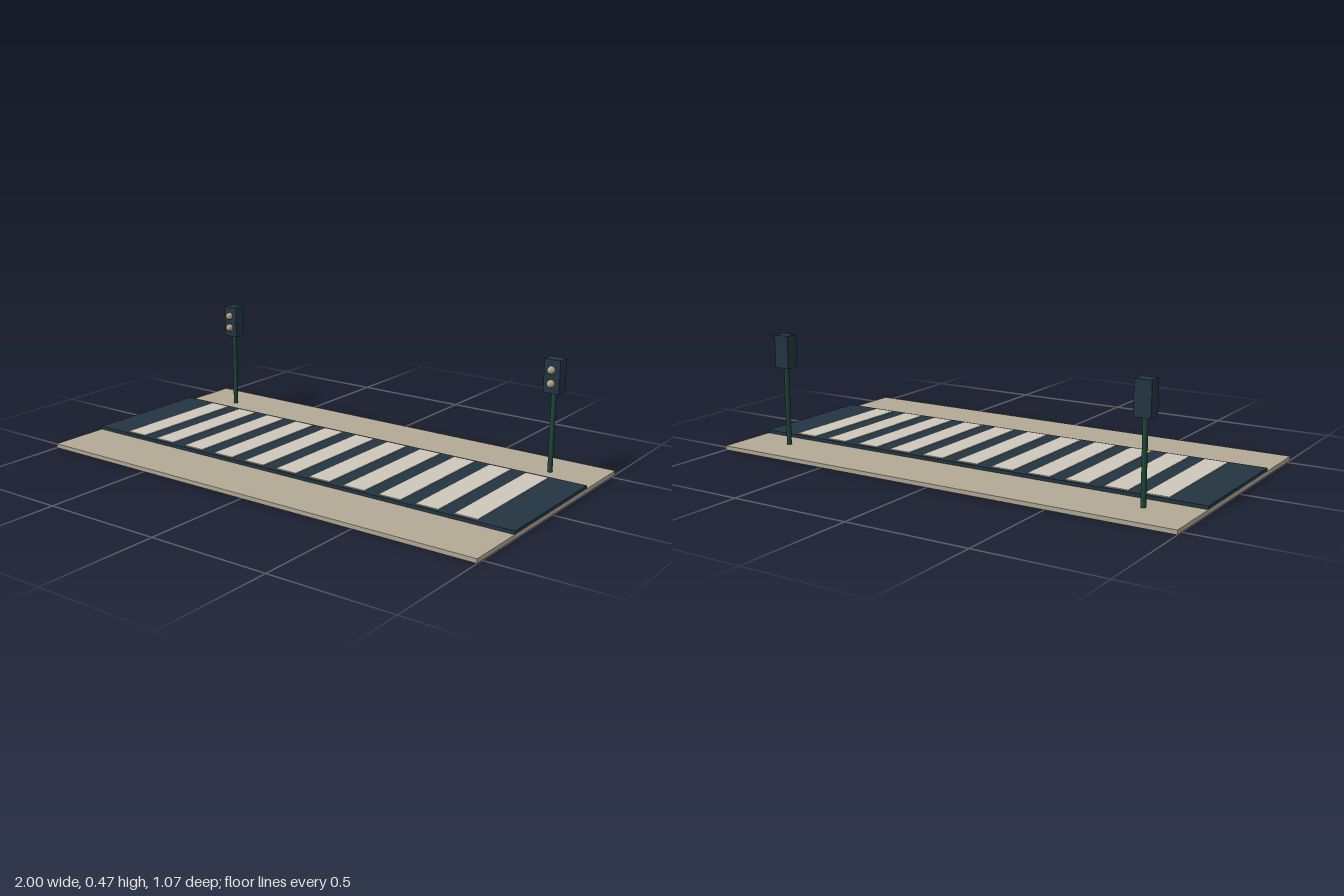
import * as THREE from 'three';

const material = (name, color) => {
  const m = new THREE.MeshStandardMaterial({ color });
  m.name = name;
  return m;
};

export function createModel() {
  const sand = material('sand pavement', 0xb3aa95);
  const asphalt = material('dark blue asphalt', 0x233542);
  const cream = material('cream paint', 0xcdc8ba);
  const green = material('dark green pole', 0x1f4a38);
  const lens = material('tan lens', 0xb3a48c);

  const model = new THREE.Group();
  model.name = 'pedestrianCrossing';

  const add = (parent, name, geometry, mat, x, y, z) => {
    const mesh = new THREE.Mesh(geometry, mat);
    mesh.name = name;
    mesh.position.set(x, y, z);
    parent.add(mesh);
    return mesh;
  };

  // Pavement slab with the raised road along it
  add(model, 'pavement', new THREE.BoxGeometry(2, 0.0167, 1.0667), sand, 0, 0.00835, 0);
  add(model, 'road', new THREE.BoxGeometry(2, 0.0133, 0.56), asphalt, 0, 0.02335, 0);

  // Eleven painted bars
  const bar = new THREE.BoxGeometry(0.096, 0.0033, 0.5333);
  for (let i = -5; i <= 5; i++) add(model, 'stripe', bar, cream, i * 0.16, 0.03165, 0);

  // A signal at each end of the far pavement
  const pole = new THREE.CylinderGeometry(0.01, 0.01, 0.36, 12);
  const head = new THREE.BoxGeometry(0.0667, 0.1333, 0.0533);
  const lamp = new THREE.SphereGeometry(0.016, 16, 12);
  for (const side of [-1, 1]) {
    const signal = new THREE.Group();
    signal.name = side > 0 ? 'leftSignal' : 'rightSignal';
    signal.position.set(side * 0.8, 0, -0.3733);
    add(signal, 'pole', pole, green, 0, 0.1795, 0);
    add(signal, 'signalHead', head, asphalt, 0, 0.403, 0);
    add(signal, 'upperLamp', lamp, lens, 0, 0.43, 0.0333);
    add(signal, 'lowerLamp', lamp, lens, 0, 0.3767, 0.0333);
    model.add(signal);
  }
  return model;
}
